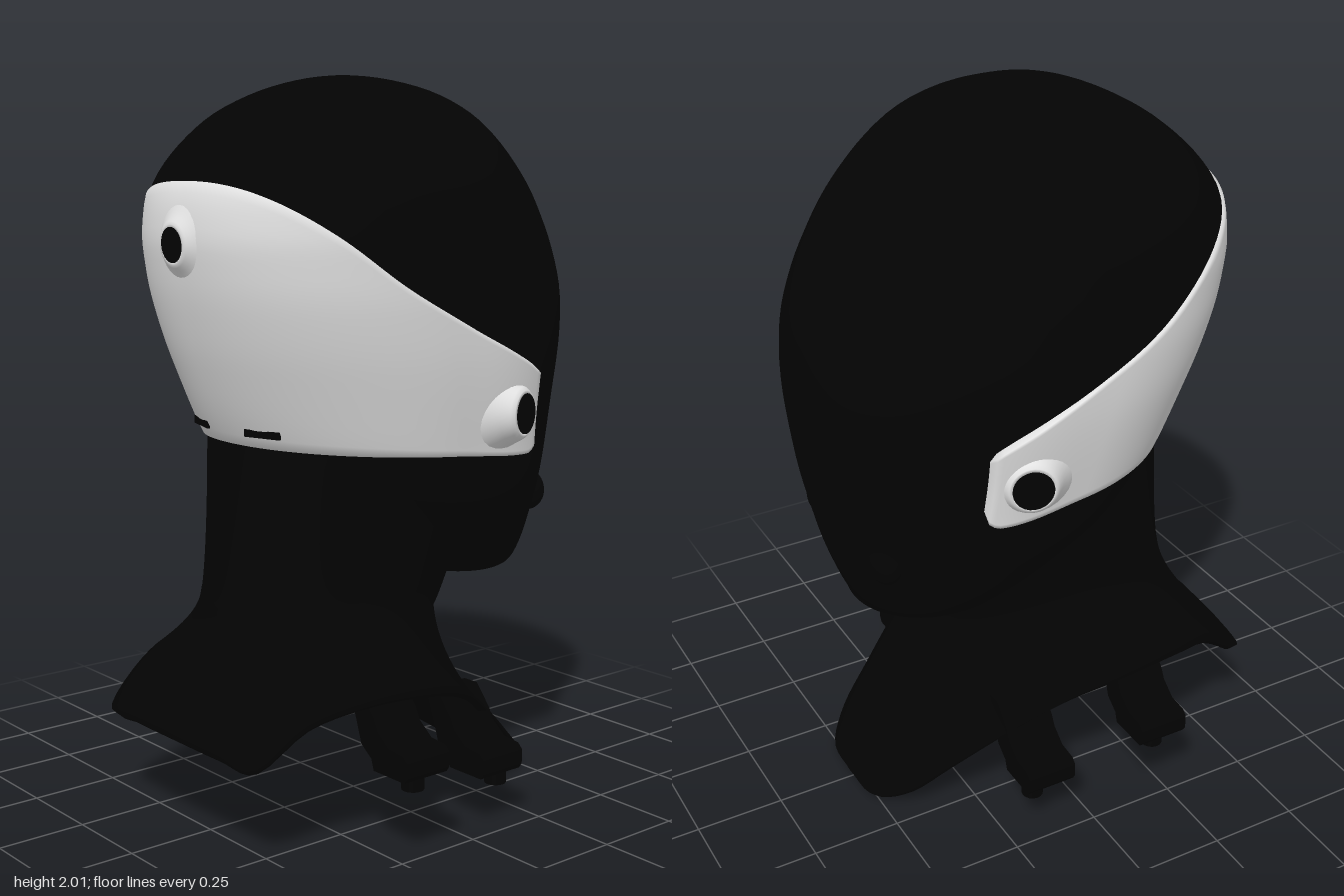
import * as THREE from 'three';

const fabric = new THREE.MeshStandardMaterial({ color: 0x030303, side: THREE.DoubleSide });
fabric.name = 'black';
const shell = new THREE.MeshStandardMaterial({ color: 0xe2e2e2, side: THREE.DoubleSide });
shell.name = 'white';

// Smooth interpolation through [key, value...] rows, column k
function spline(rows, key, k) {
  const n = rows.length;
  if (key <= rows[0][0]) return rows[0][k];
  if (key >= rows[n - 1][0]) return rows[n - 1][k];
  let i = 0;
  while (key > rows[i + 1][0]) i++;
  const slope = (j) => {
    const p = rows[Math.max(j - 1, 0)], q = rows[Math.min(j + 1, n - 1)];
    return (q[k] - p[k]) / (q[0] - p[0]);
  };
  const h = rows[i + 1][0] - rows[i][0], t = (key - rows[i][0]) / h, t2 = t * t, t3 = t2 * t;
  return (2 * t3 - 3 * t2 + 1) * rows[i][k] + (t3 - 2 * t2 + t) * h * slope(i)
    + (3 * t2 - 2 * t3) * rows[i + 1][k] + (t3 - t2) * h * slope(i + 1);
}

function bisect(f, lo, hi) {
  for (let i = 0; i < 30; i++) {
    const m = (lo + hi) / 2;
    if (f(m) > 0) hi = m; else lo = m;
  }
  return (lo + hi) / 2;
}

// Skin rows of points, optionally closing each row into a ring
function loft(rows, closed) {
  const n = rows[0].length, pos = [], idx = [];
  rows.forEach((r) => r.forEach((p) => pos.push(p.x, p.y, p.z)));
  for (let i = 0; i < rows.length - 1; i++) {
    for (let j = 0; j < (closed ? n : n - 1); j++) {
      const a = i * n + j, b = i * n + (j + 1) % n, c = a + n, d = b + n;
      idx.push(a, c, b, b, c, d);
    }
  }
  const g = new THREE.BufferGeometry();
  g.setAttribute('position', new THREE.Float32BufferAttribute(pos, 3));
  g.setIndex(idx);
  g.computeVertexNormals();
  return g;
}

// Head sections: height, rear x, face x, half width
const toS = (y) => Math.acos(THREE.MathUtils.clamp(1 - 2 * (y - 0.6) / 1.4, -1, 1)) / Math.PI;
const sections = [
  [0.6, 0.38, 0.38, 0], [0.61, 0.25, 0.475, 0.13], [0.64, 0.13, 0.495, 0.235], [0.7, 0.0, 0.52, 0.3],
  [0.8, -0.17, 0.553, 0.357], [0.9, -0.3, 0.577, 0.4], [1.04, -0.405, 0.606, 0.424], [1.25, -0.495, 0.627, 0.455],
  [1.4, -0.54, 0.616, 0.465], [1.5, -0.56, 0.589, 0.464], [1.6, -0.568, 0.545, 0.459], [1.73, -0.535, 0.464, 0.438],
  [1.88, -0.39, 0.32, 0.355], [1.95, -0.265, 0.205, 0.25], [1.98, -0.18, 0.115, 0.16], [2, -0.04, -0.04, 0],
].map(([y, ...r]) => [toS(y), ...r]);

// Horizontal cross-section, squarer towards the crown
const power = (v, n) => Math.sign(v) * Math.abs(v) ** (2 / n);
function headPoint(angle, y, out = 0) {
  const s = toS(y), x0 = spline(sections, s, 1), x1 = spline(sections, s, 2), w = spline(sections, s, 3);
  const c = Math.cos(angle), n = 2.08 + 0.22 * THREE.MathUtils.smoothstep(y, 1.1, 1.5);
  const mid = x0 + (x1 - x0) * 0.46;
  return new THREE.Vector3(mid + ((c > 0 ? x1 - mid : mid - x0) + out) * power(c, n), y,
    (w + out) * power(Math.sin(angle), n));
}

function ring(n, f) {
  return Array.from({ length: n }, (_, j) => f(j / n * Math.PI * 2));
}

function makeHead() {
  return loft(Array.from({ length: 65 }, (_, i) => {
    const y = 0.6 + 0.7 * (1 - Math.cos(i / 64 * Math.PI));
    return ring(96, (a) => headPoint(a, y));
  }), true);
}

// Visor band wrapped round the rear half of the head, standing off near its ends
const visorTop = [[-0.6, 1.78], [-0.54, 1.73], [-0.37, 1.6], [-0.2, 1.47], [0, 1.36], [0.15, 1.285], [0.25, 1.23], [0.28, 1.2], [0.295, 1.14]];
const visorBottom = [[-0.41, 1.045], [0, 1.02], [0.24, 1.0], [0.275, 1.015], [0.295, 1.06]];
function makeVisor() {
  const end = bisect((a) => 0.285 - headPoint(a, 1.1).x, 0.3, 3);
  const edge = (a, table, lo, hi) => bisect((y) => y - spline(table, headPoint(a, y).x, 1), lo, hi);
  const cols = Array.from({ length: 141 }, (_, j) => {
    const a = end + (2 * Math.PI - 2 * end) * j / 140;
    const out = 0.008 + 0.022 * THREE.MathUtils.smoothstep(headPoint(a, 1.1).x, 0, 0.25);
    return { a, out, lo: edge(a, visorBottom, 0.9, 1.2), hi: edge(a, visorTop, 1.05, 1.85) };
  });
  const rows = [];
  for (let i = -1; i <= 25; i++) {
    const v = THREE.MathUtils.clamp(i / 24, 0, 1);
    rows.push(cols.map((c, j) => {
      const rim = i < 0 || i > 24 || j === 0 || j === 140;
      return headPoint(c.a, c.lo + (c.hi - c.lo) * v, rim ? -0.004 : c.out);
    }));
  }
  return loft(rows, false);
}

// Neck flaring into a collar with a slanted hem
const hem = new THREE.CatmullRomCurve3([
  [-0.63, 0.29, 0], [-0.62, 0.285, 0.2], [-0.6, 0.28, 0.33], [-0.46, 0.38, 0.385], [-0.3, 0.42, 0.44],
  [-0.12, 0.415, 0.455], [0.05, 0.37, 0.42], [0.2, 0.27, 0.35], [0.34, 0.16, 0.28], [0.45, 0.07, 0.22],
  [0.52, 0.02, 0.13], [0.53, 0.015, 0],
].map((p) => new THREE.Vector3(...p)));
function hemPoint(a) {
  const t = a > Math.PI ? 2 * Math.PI - a : a;
  const p = hem.getPoint(1 - t / Math.PI);
  if (a > Math.PI) p.z *= -1;
  return p;
}
function neckPoint(a, k = 1) {
  const c = Math.cos(a);
  return new THREE.Vector3(-0.127 + 0.33 * c * k, 0.64 - (c > 0 ? 0.14 : 0.04) * c * c, 0.308 * Math.sin(a) * k);
}
function makeCollar() {
  const rows = [];
  const flare = (t, inner) => ring(96, (a) => {
    const p = hemPoint(a), q = neckPoint(a, inner ? 0.93 : 1);
    if (inner) { p.x *= 0.965; p.z *= 0.95; p.y -= 0.02; }
    const m = q.clone().lerp(p, 0.07);
    m.y = p.y + (q.y - p.y) * 0.55;
    return new THREE.QuadraticBezierCurve3(p, m, q).getPoint(t);
  });
  for (let i = 8; i >= 0; i--) rows.push(flare(i / 8, true));
  for (let i = 0; i <= 14; i++) rows.push(flare(i / 14, false));
  // Upper neck curves out under the chin
  for (let i = 1; i <= 14; i++) {
    const t = (i / 14) ** 1.5;
    rows.push(ring(96, (a) => {
      const p = neckPoint(a), mix = THREE.MathUtils.lerp;
      return new THREE.Vector3(mix(p.x, -0.012 + 0.395 * Math.cos(a), t ** 0.8), mix(p.y, 1.04, t),
        mix(p.z, 0.395 * Math.sin(a), t ** 1.25));
    }));
  }
  return loft(rows, true);
}

export function createModel() {
  const model = new THREE.Group();
  const add = (name, geometry, material, parent = model) => {
    const mesh = new THREE.Mesh(geometry, material);
    mesh.name = name;
    parent.add(mesh);
    return mesh;
  };
  add('head', makeHead(), fabric);
  add('visor', makeVisor(), shell);
  add('neckCollar', makeCollar(), fabric);

  // Plate closing the neck from below
  const plate = add('neckPlate', new THREE.CylinderGeometry(1, 1, 0.03, 48), fabric);
  plate.scale.set(0.31, 1, 0.3);
  plate.position.set(-0.13, 0.49, 0);

  // Flared socket with a dark lens
  const socketProfile = [[0.13, -0.03], [0.108, -0.003], [0.088, 0.022], [0.074, 0.046], [0.065, 0.055], [0.057, 0.057], [0.05, 0.045]]
    .map((p) => new THREE.Vector2(...p));
  const addSocket = (name, position, direction, size, height) => {
    const g = new THREE.Group();
    g.name = name;
    add('socketRim', new THREE.LatheGeometry(socketProfile, 32), shell, g);
    add('lens', new THREE.CylinderGeometry(0.057, 0.057, 0.008, 24), fabric, g).position.y = 0.055;
    g.position.set(...position);
    g.quaternion.setFromUnitVectors(new THREE.Vector3(0, 1, 0), new THREE.Vector3(...direction).normalize());
    g.scale.set(size, height, size);
    model.add(g);
  };
  addSocket('rearSocket', [-0.57, 1.57, 0], [-1, -0.05, 0], 0.8, 0.4);

  // Hanging bracket outline, drawn outward and up
  const bracket = new THREE.Shape([[-0.16, 0.2], [-0.13, 0.12], [-0.11, 0.06], [-0.07, 0.03], [-0.06, 0], [0.06, 0], [0.07, 0.015],
    [0.07, 0.055], [0.055, 0.07], [0, 0.075], [-0.045, 0.11], [-0.06, 0.14], [-0.11, 0.2]].map((p) => new THREE.Vector2(...p)));
  const bracketGeometry = new THREE.ExtrudeGeometry(bracket, { depth: 0.145, bevelEnabled: false });
  bracketGeometry.translate(0, 0, -0.0725).rotateY(-Math.PI / 2);

  for (const side of [1, -1]) {
    addSocket('sideSocket', [0.175, 1.12, side * 0.425], [0.33, 0, side * 0.94], 0.95, 1);

    // Small slot near the visor's lower rim
    const slot = add('visorSlot', new THREE.BoxGeometry(0.009, 0.02, 0.11), fabric);
    slot.position.copy(headPoint(Math.PI - side * 0.3, 1.085, 0.007));
    slot.rotation.y = side * 0.3;

    // Cheek nub
    const nub = add('cheekNub', new THREE.SphereGeometry(0.06, 24, 16), fabric);
    nub.scale.set(0.75, 1, 1);
    nub.position.set(0.48, 0.84, side * 0.2);

    // Two brackets with bolt tips
    for (const [x, y, z, tipX] of [[-0.198, 0.225, 0.47, -0.198], [0.127, 0.14, 0.41, 0.157]]) {
      const arm = add('bracket', bracketGeometry, fabric);
      arm.position.set(x, y, side * z);
      if (side < 0) arm.rotation.y = Math.PI;
      add('bracketBolt', new THREE.CylinderGeometry(0.03, 0.03, 0.06, 16), fabric).position.set(tipX, y - 0.015, side * (z + 0.01));
    }
  }
  return model;
}
